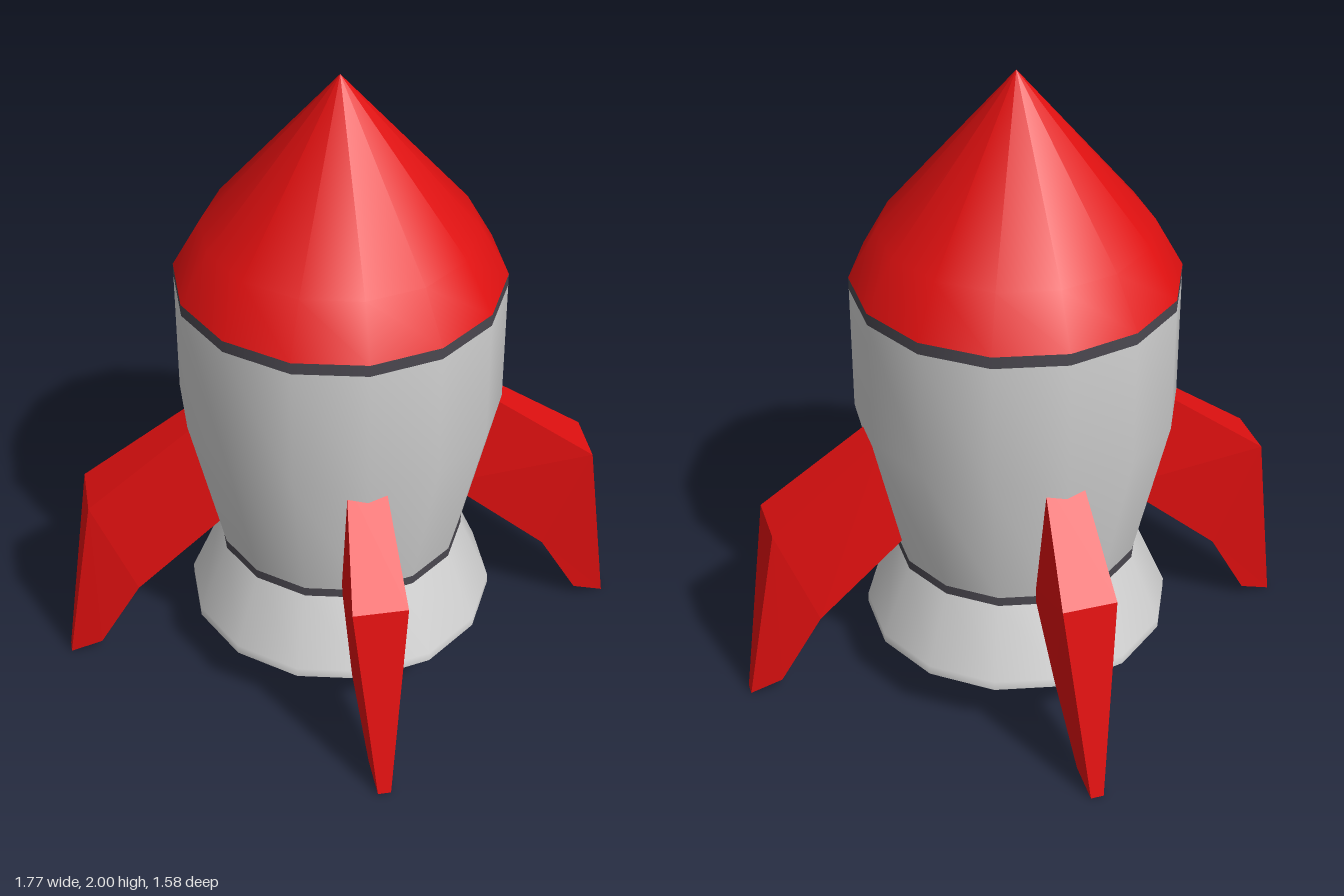
import * as THREE from 'three';

const SIDES = 14;
const mat = (name, color, side = THREE.FrontSide) => {
  const m = new THREE.MeshStandardMaterial({ color, side });
  m.name = name;
  return m;
};

// A turned section of the hull from [radius, height] pairs, bottom to top
function turned(name, profile, material) {
  const points = profile.map(([r, y]) => new THREE.Vector2(r, y));
  const mesh = new THREE.Mesh(new THREE.LatheGeometry(points, SIDES), material);
  mesh.name = name;
  return mesh;
}

// A fin lofted along +x through rectangular sections; each is
// [upper x, upper y, upper half width, lower x, lower y, lower half width]
function finGeometry(sections) {
  const pos = [];
  const index = [];
  for (const [ux, uy, uw, lx, ly, lw] of sections) {
    pos.push(ux, uy, uw, ux, uy, -uw, lx, ly, -lw, lx, ly, lw);
  }
  const quad = (a, b, c, d) => index.push(a, b, c, a, c, d);
  const last = (sections.length - 1) * 4;
  for (let s = 0; s < last; s += 4) {
    for (let j = 0; j < 4; j++) {
      const k = (j + 1) % 4;
      quad(s + j, s + 4 + j, s + 4 + k, s + k);
    }
  }
  quad(0, 1, 2, 3);
  quad(last, last + 3, last + 2, last + 1);
  const geo = new THREE.BufferGeometry();
  geo.setAttribute('position', new THREE.Float32BufferAttribute(pos, 3));
  geo.setIndex(index);
  const flat = geo.toNonIndexed();
  flat.computeVertexNormals();
  return flat;
}

export function createModel() {
  const red = mat('red paint', 0xe01010);
  const grey = mat('light grey hull', 0xd2d2d2);
  const dark = mat('dark grey trim', 0x4b4850);

  const rocket = new THREE.Group();
  rocket.name = 'rocket';

  // Hull, from the flared skirt up to the pointed nose
  rocket.add(
    turned('skirt', [[0.477, 0.175], [0.477, 0.205], [0.383, 0.425]], grey),
    turned('waistBand', [[0.383, 0.425], [0.383, 0.455]], dark),
    turned('body', [[0.383, 0.455], [0.49, 0.93], [0.49, 1.33]], grey),
    turned('noseBand', [[0.49, 1.33], [0.49, 1.367]], dark),
    turned('noseCone', [[0.49, 1.367], [0.405, 1.52], [0, 2]], red),
  );

  // Base plate closing the skirt
  const base = new THREE.Mesh(new THREE.CircleGeometry(0.477, SIDES, Math.PI / 2), red);
  base.name = 'basePlate';
  base.rotation.x = Math.PI / 2;
  base.position.y = 0.175;
  rocket.add(base);

  // Side fins reach further out than the front and back fins
  const sideFin = finGeometry([
    [0.43, 0.907, 0.053, 0.33, 0.563, 0.053],
    [0.79, 0.64, 0.086, 0.655, 0.275, 0.058],
    [0.885, 0.003, 0.02, 0.785, 0.04, 0.03],
  ]);
  const frontFin = finGeometry([
    [0.43, 0.925, 0.055, 0.33, 0.468, 0.055],
    [0.69, 0.64, 0.082, 0.555, 0.275, 0.058],
    [0.79, 0.003, 0.02, 0.69, 0.04, 0.03],
  ]);
  ['leftFin', 'backFin', 'rightFin', 'frontFin'].forEach((name, i) => {
    const fin = new THREE.Mesh(i % 2 ? frontFin : sideFin, red);
    fin.name = name;
    fin.rotation.y = i * Math.PI / 2;
    rocket.add(fin);
  });

  return rocket;
}
